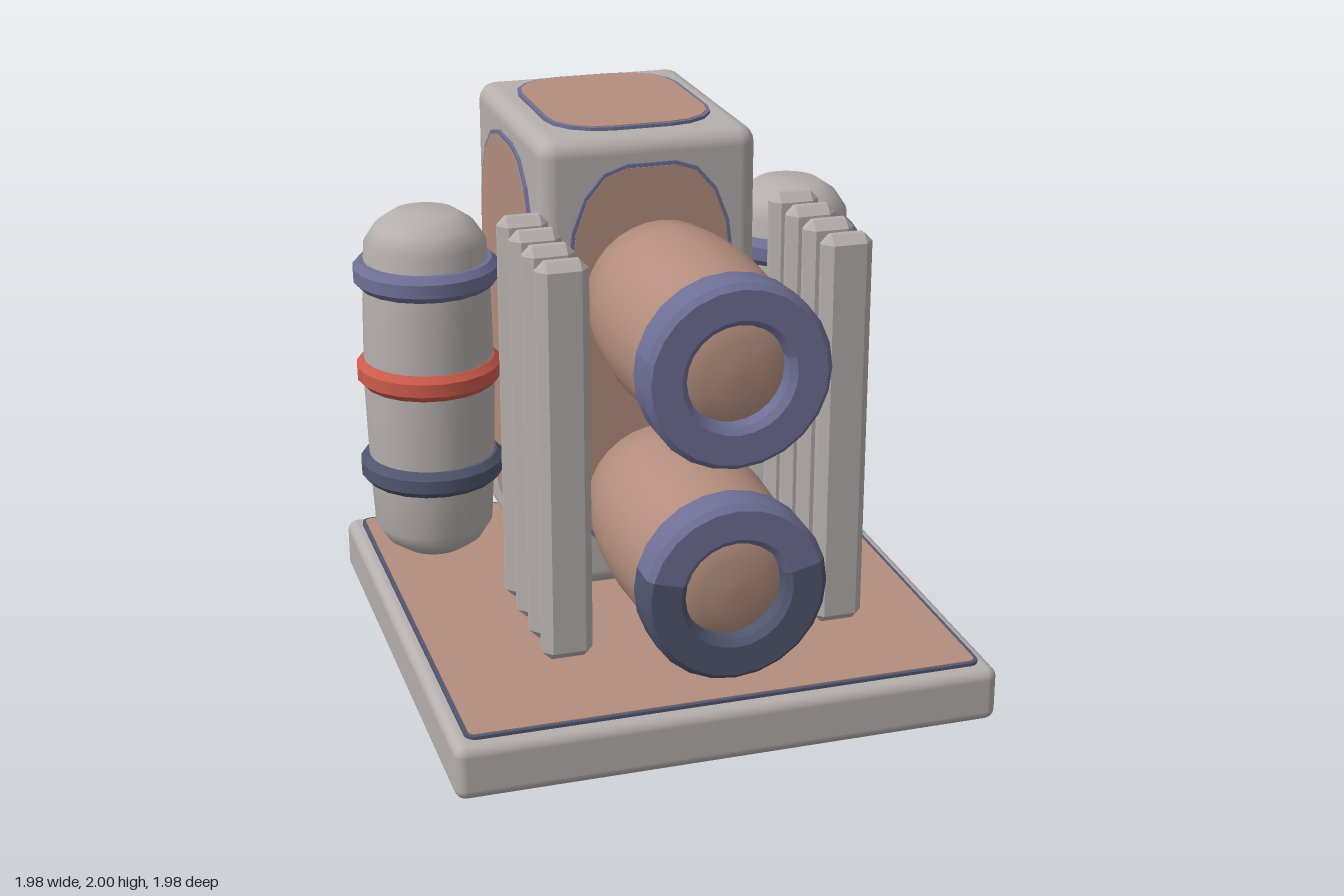
import * as THREE from 'three';
import { toCreasedNormals } from 'three/addons/utils/BufferGeometryUtils.js';
import { RoundedBoxGeometry } from 'three/addons/geometries/RoundedBoxGeometry.js';
import { ConvexGeometry } from 'three/addons/geometries/ConvexGeometry.js';

const material = (name, color) => Object.assign(new THREE.MeshStandardMaterial({ color }), { name });
const grey = material('warm grey', 0xb5afad);
const copper = material('dull copper', 0xb38d7d);
const slate = material('slate blue', 0x6f6f96);
const navy = material('dark slate', 0x51566f);
const red = material('signal red', 0xcc5a4b);

function mesh(name, geometry, mat, x = 0, y = 0, z = 0) {
  const m = new THREE.Mesh(geometry, mat);
  m.name = name;
  m.position.set(x, y, z);
  return m;
}

const lathe = (profile, sides, start = 0, length = Math.PI * 2) =>
  new THREE.LatheGeometry(profile.map(([r, y]) => new THREE.Vector2(r, y)), sides, start, length);

// Rectangle with elliptical corners; a and b are half sizes
function plateGeometry(a, b, rx, ry, z0, z1) {
  const s = new THREE.Shape();
  const q = Math.PI / 2;
  [[1, 1], [-1, 1], [-1, -1], [1, -1]].forEach(([sx, sy], i) =>
    s.absellipse(sx * (a - rx), sy * (b - ry), rx, ry, i * q, (i + 1) * q, false));
  const g = new THREE.ExtrudeGeometry(s, { depth: z1 - z0, bevelEnabled: false, curveSegments: 2 });
  return g.translate(0, 0, z0);
}

// Coloured panel with a darker rim, its outer face on local z = 0
function panel(name, a, b, rx, ry, rim, position, rotation) {
  const g = new THREE.Group();
  const t = 0.014;
  g.name = name;
  g.add(mesh('panelRim', plateGeometry(a, b, rx, ry, -0.03, -0.003), rim));
  g.add(mesh('panelFace', plateGeometry(a - t, b - t, rx - t, ry - t, -0.008, 0), copper));
  g.position.set(...position);
  g.rotation.set(...rotation);
  return g;
}

// Box with every edge and corner chamfered
function chamferedBox(a, b, d, c) {
  const points = [];
  for (const x of [-1, 1]) for (const y of [-1, 1]) for (const z of [-1, 1]) {
    points.push(
      new THREE.Vector3(x * a, y * (b - c), z * (d - c)),
      new THREE.Vector3(x * (a - c), y * b, z * (d - c)),
      new THREE.Vector3(x * (a - c), y * (b - c), z * d));
  }
  return new ConvexGeometry(points);
}

export function createModel() {
  const model = new THREE.Group();
  model.name = 'machine';
  const q = Math.PI / 2;

  // Base slab
  model.add(mesh('baseSlab', new RoundedBoxGeometry(1.97, 0.205, 1.97, 3, 0.04), grey, 0, 0.1175, 0));
  model.add(panel('baseTopPanel', 0.935, 0.935, 0.04, 0.04, navy, [0, 0.235, 0], [-q, 0, 0]));
  model.add(panel('baseBottomPanel', 0.935, 0.935, 0.04, 0.04, navy, [0, 0, 0], [q, 0, 0]));

  // Tower with a panel on each face
  const cz = -0.4975;
  const py = 1.133;
  model.add(mesh('tower', new RoundedBoxGeometry(0.81, 1.735, 0.965, 3, 0.065), grey, 0, 1.1175, cz));
  model.add(panel('towerFrontPanel', 0.31, 0.755, 0.22, 0.38, slate, [0, py, 0], [0, 0, 0]));
  model.add(panel('towerBackPanel', 0.31, 0.755, 0.22, 0.38, slate, [0, py, -0.995], [0, 2 * q, 0]));
  model.add(panel('towerLeftPanel', 0.385, 0.755, 0.29, 0.38, slate, [0.42, py, cz], [0, q, 0]));
  model.add(panel('towerRightPanel', 0.385, 0.755, 0.29, 0.38, slate, [-0.42, py, cz], [0, -q, 0]));
  model.add(panel('towerTopPanel', 0.31, 0.385, 0.2, 0.2, slate, [0, 2, cz], [-q, 0, 0]));
  model.add(panel('towerBottomPanel', 0.31, 0.385, 0.2, 0.2, navy, [0, 0.235, cz], [q, 0, 0]));

  // Two horizontal barrels with thick front collars
  const barrel = lathe([[0, 0], [0.1, 0.002], [0.19, 0.03], [0.28, 0.11], [0.302, 0.27], [0.313, 0.45],
    [0.305, 0.64], [0.285, 0.83], [0.19, 0.905], [0.1, 0.928], [0, 0.932]], 32).rotateX(q);
  const collarProfile = [[0.2, 0.835], [0.31, 0.835], [0.325, 0.85], [0.325, 0.965], [0.305, 0.985],
    [0.2, 0.985], [0.178, 0.965], [0.178, 0.85], [0.2, 0.835]];
  const collarArc = (from, steps) => toCreasedNormals(
    lathe(collarProfile, steps, from * Math.PI / 12, steps * Math.PI / 12).rotateX(q), 0.5);
  [[1.43, slate], [0.655, navy]].forEach(([y, lower]) => {
    const g = new THREE.Group();
    g.name = 'barrelAssembly';
    g.position.y = y;
    g.add(mesh('barrel', barrel, copper));
    g.add(mesh('collarUpper', collarArc(7, 10), slate));
    g.add(mesh('collarLower', collarArc(17, 14), lower));
    model.add(g);
  });

  // Capsule tanks with rings, and a row of upright fins, on both sides
  const tank = lathe([[0, 0.27], [0.12, 0.275], [0.185, 0.32], [0.225, 0.385], [0.237, 0.6], [0.247, 0.95],
    [0.24, 1.28], [0.228, 1.505], [0.185, 1.57], [0.12, 1.615], [0, 1.62]], 32);
  const ring = toCreasedNormals(lathe([[0.22, -0.052], [0.25, -0.05], [0.273, -0.025], [0.273, 0.025],
    [0.25, 0.05], [0.22, 0.052]], 20), 0.5);
  const fin = chamferedBox(0.09, 0.725, 0.044, 0.031);
  for (const side of [1, -1]) {
    const g = new THREE.Group();
    g.name = side > 0 ? 'leftTank' : 'rightTank';
    g.position.set(side * 0.715, 0, -0.54);
    g.add(mesh('tankBody', tank, grey));
    g.add(mesh('upperRing', ring, slate, 0, 1.39, 0));
    g.add(mesh('middleRing', ring, red, 0, 1.005, 0));
    g.add(mesh('lowerRing', ring, navy, 0, 0.618, 0));
    model.add(g);
    for (let i = 0; i < 4; i++) {
      model.add(mesh('fin', fin, grey, side * 0.5, 1.045, 0.097 + i * 0.174));
    }
  }
  return model;
}
